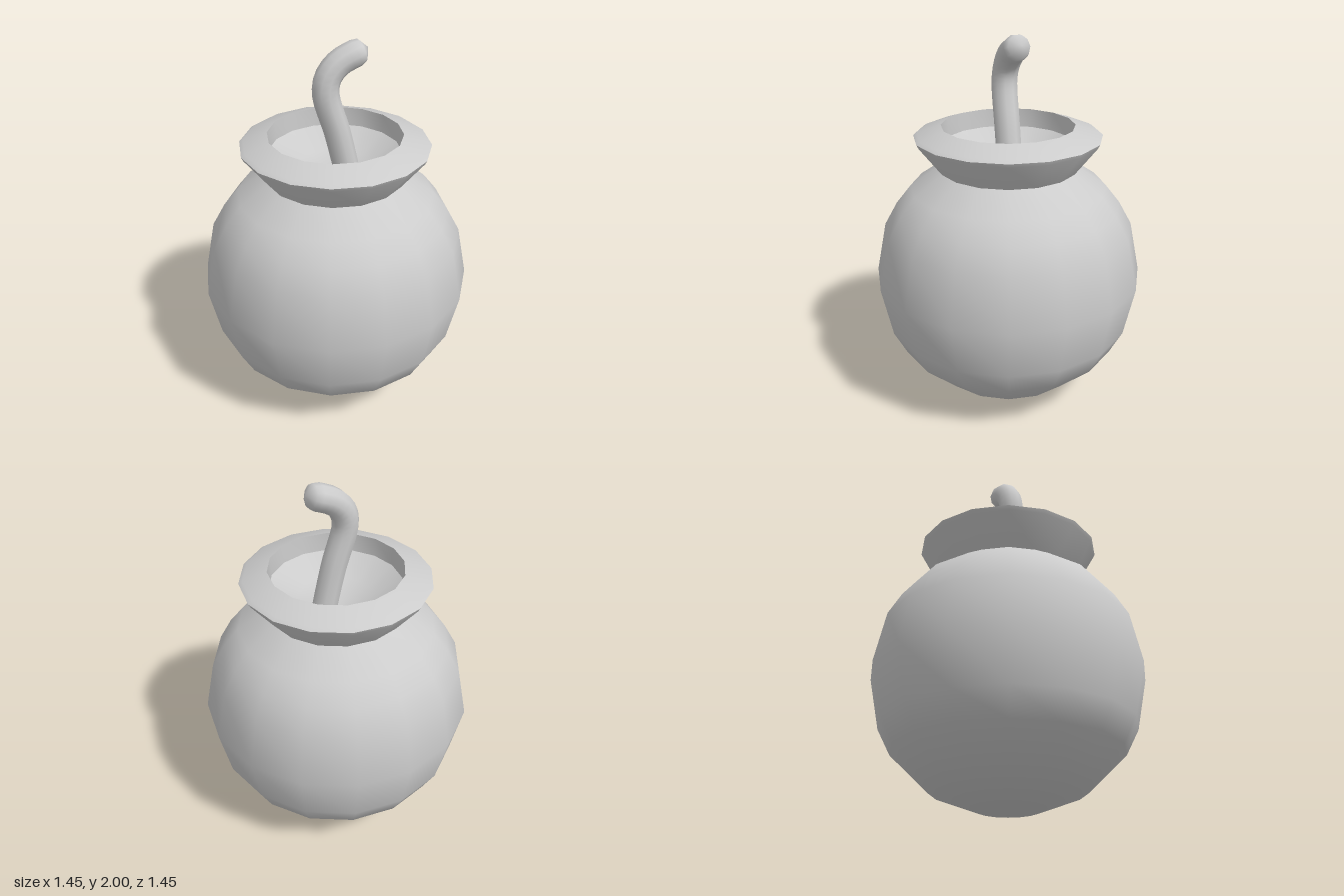
import * as THREE from 'three';
import { mergeVertices, toCreasedNormals } from 'three/addons/utils/BufferGeometryUtils.js';

const SIDES = 16;
const material = new THREE.MeshStandardMaterial({ color: 0xcccccc });

// Sixteen-sided turned part from [radius, height] pairs
function turned(profile) {
  return new THREE.LatheGeometry(profile.map(([r, y]) => new THREE.Vector2(r, y)), SIDES);
}

// Bent cord along a curve, closing to a rounded tip
function cord(points, radius, segments, sides) {
  const curve = new THREE.CatmullRomCurve3(points.map((p) => new THREE.Vector3(...p)));
  const tube = new THREE.TubeGeometry(curve, segments, radius, sides);
  const pos = tube.attributes.position;
  const length = curve.getLength();
  const v = new THREE.Vector3();
  for (let i = 0; i <= segments; i++) {
    const centre = curve.getPointAt(i / segments);
    const left = (1 - i / segments) * length;
    const k = left < radius ? Math.sqrt(1 - (1 - left / radius) ** 2) : 1;
    for (let j = 0; j <= sides; j++) {
      const n = i * (sides + 1) + j;
      v.fromBufferAttribute(pos, n).sub(centre).multiplyScalar(k).add(centre);
      pos.setXYZ(n, v.x, v.y, v.z);
    }
  }
  // Weld the seam so the shading is smooth all round
  tube.deleteAttribute('uv');
  tube.deleteAttribute('normal');
  const welded = mergeVertices(tube);
  welded.computeVertexNormals();
  return welded;
}

export function createModel() {
  const group = new THREE.Group();
  const add = (name, geometry) => {
    const mesh = new THREE.Mesh(geometry, material);
    mesh.name = name;
    group.add(mesh);
  };

  // Round body, open under the collar
  add('body', turned([
    [0, 0], [0.16, 0.02], [0.4, 0.11], [0.6, 0.3], [0.67, 0.435], [0.726, 0.705],
    [0.67, 0.975], [0.6, 1.1], [0.52, 1.2], [0.365, 1.305],
  ]));

  // Flared collar with a bevelled lip, short inner wall and dished floor
  add('collar', toCreasedNormals(turned([
    [0.365, 1.3], [0.485, 1.455], [0.495, 1.475], [0.475, 1.488], [0.35, 1.53],
    [0.345, 1.43], [0.2, 1.345], [0, 1.29],
  ]), Math.PI / 5));

  // Bent fuse
  add('fuse', cord([
    [0.07, 1.27, 0.015], [0.01, 1.53, 0.01], [-0.05, 1.75, 0], [-0.035, 1.83, -0.005],
    [0.02, 1.895, -0.005], [0.1, 1.935, 0], [0.17, 1.96, 0],
  ], 0.068, 24, 10));

  return group;
}
